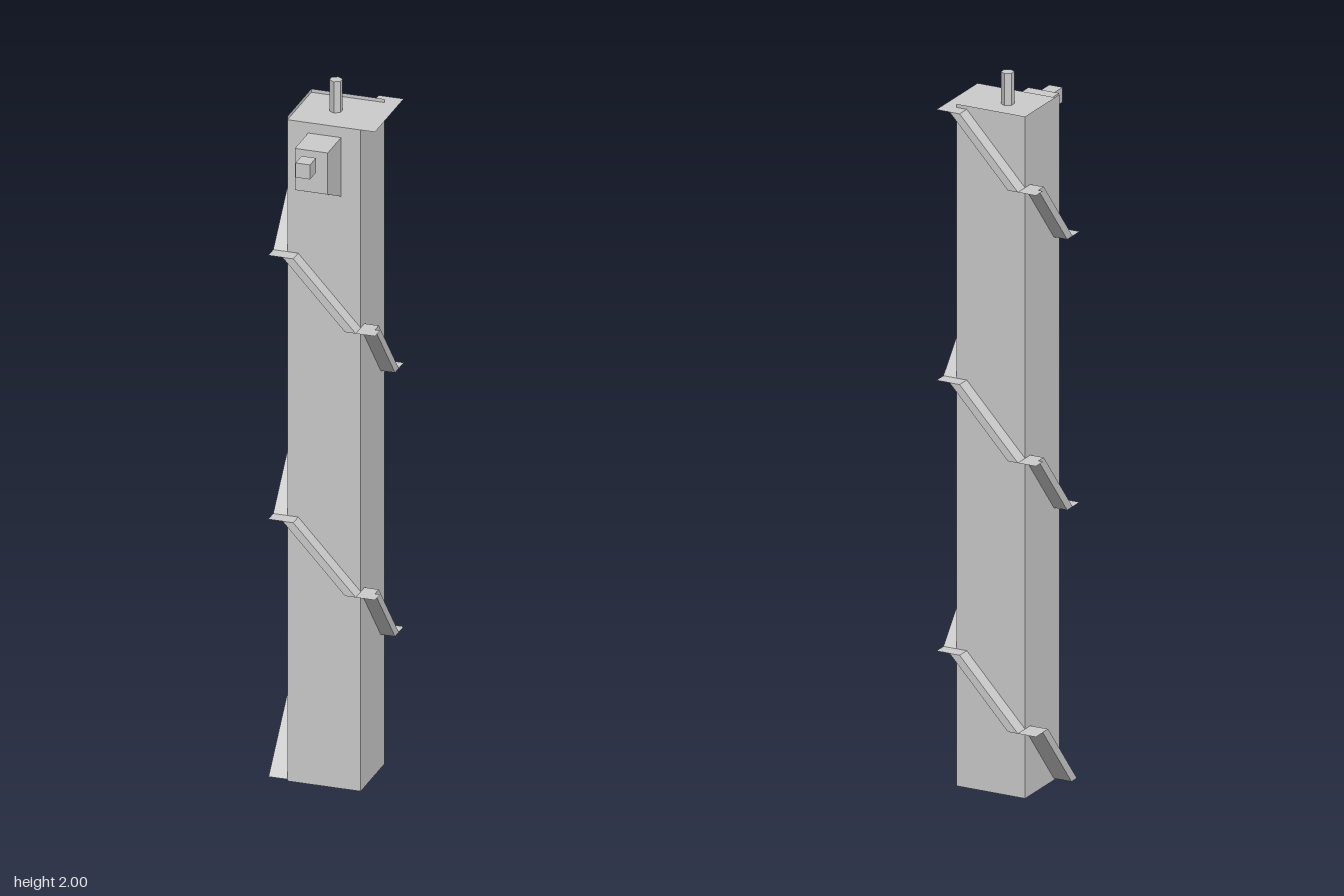
import * as THREE from 'three';

const grey = new THREE.MeshStandardMaterial({ color: 0xcccccc, flatShading: true, side: THREE.DoubleSide });

// Tower footprint and ramp dimensions
const X0 = -0.104, X1 = 0.101, Z0 = -0.164, Z1 = 0.027;
const CX = (X0 + X1) / 2, CZ = (Z0 + Z1) / 2, W = X1 - X0, D = Z1 - Z0;
const ROOF = 1.91, TOP = 1.92, DROP = 0.1905, STEP = 0.03, LEDGE = 0.04;

function add(parent, name, geometry, x = 0, y = 0, z = 0) {
  const mesh = new THREE.Mesh(geometry, grey);
  mesh.name = name;
  mesh.position.set(x, y, z);
  parent.add(mesh);
  return mesh;
}

// Box given by its minimum and maximum corners
function block(parent, name, x0, x1, y0, y1, z0, z1) {
  return add(parent, name, new THREE.BoxGeometry(x1 - x0, y1 - y0, z1 - z0),
    (x0 + x1) / 2, (y0 + y1) / 2, (z0 + z1) / 2);
}

// Thin horizontal sheet
function sheet(parent, name, x0, x1, y, z0, z1) {
  const g = new THREE.PlaneGeometry(x1 - x0, z1 - z0).rotateX(-Math.PI / 2);
  return add(parent, name, g, (x0 + x1) / 2, y, (z0 + z1) / 2);
}

// Polygon extruded along +z
function prism(points, depth) {
  const shape = new THREE.Shape(points.map(([x, y]) => new THREE.Vector2(x, y)));
  return new THREE.ExtrudeGeometry(shape, { depth, bevelEnabled: false });
}

export function createModel() {
  const model = new THREE.Group();

  // Hollow shaft, open underneath
  const tower = new THREE.Group();
  tower.name = 'tower';
  model.add(tower);
  for (let side = 0; side < 4; side++) {
    const width = side % 2 ? D : W, out = (side % 2 ? W : D) / 2;
    const height = side < 2 ? ROOF : TOP; // low kerb on the back and -x sides
    const wall = add(tower, 'wall', new THREE.PlaneGeometry(width, height).translate(0, height / 2, out), CX, 0, CZ);
    wall.rotation.y = side * Math.PI / 2;
  }

  // Roof with an overhanging ledge where the ramp begins
  sheet(model, 'roof', X0, X1, ROOF, Z0, Z1);
  sheet(model, 'roofLedge', X1, X1 + LEDGE, ROOF, Z0 - LEDGE, Z1);
  sheet(model, 'roofLanding', 0.073, X1, ROOF, Z0 - LEDGE, Z0);

  // Ramp spiralling down, one flight per wall, with corner landings
  for (let i = 0; i < 10; i++) {
    const side = (2 + i) % 4, last = i === 9;
    const half = (side % 2 ? D : W) / 2, out = (side % 2 ? W : D) / 2;
    const y0 = ROOF - i * DROP, y1 = y0 - DROP;
    const flight = new THREE.Group();
    flight.name = 'rampFlight';
    flight.position.set(CX, 0, CZ);
    flight.rotation.y = side * Math.PI / 2;
    model.add(flight);
    const profile = [[-half, y0], [half - STEP, y1], [half, y1], [-half + STEP, y0]];
    add(flight, 'ramp', prism(profile, last ? 0.053 : LEDGE), 0, 0, out);
    if (!last) {
      const reach = side % 2 ? LEDGE : 0.054;
      sheet(flight, 'landing', half, half + reach, y1, out, out + LEDGE);
    }
  }

  // Cabin on the front with a sloping underside
  const cabin = add(model, 'cabin',
    prism([[Z1, 1.71], [0.134, 1.76], [0.134, 1.88], [Z1, 1.88]], 0.092), 0.046, 0, 0);
  cabin.rotation.y = -Math.PI / 2;
  block(model, 'lampNeck', -0.012, 0.012, 1.835, 1.86, 0.134, 0.155);
  block(model, 'lampHead', -0.02, 0.02, 1.828, 1.87, 0.154, 0.202);

  // Six-sided mast
  add(model, 'mast', new THREE.CylinderGeometry(0.018, 0.018, 0.09, 6), -0.003, 1.955, -0.073);

  return model;
}
